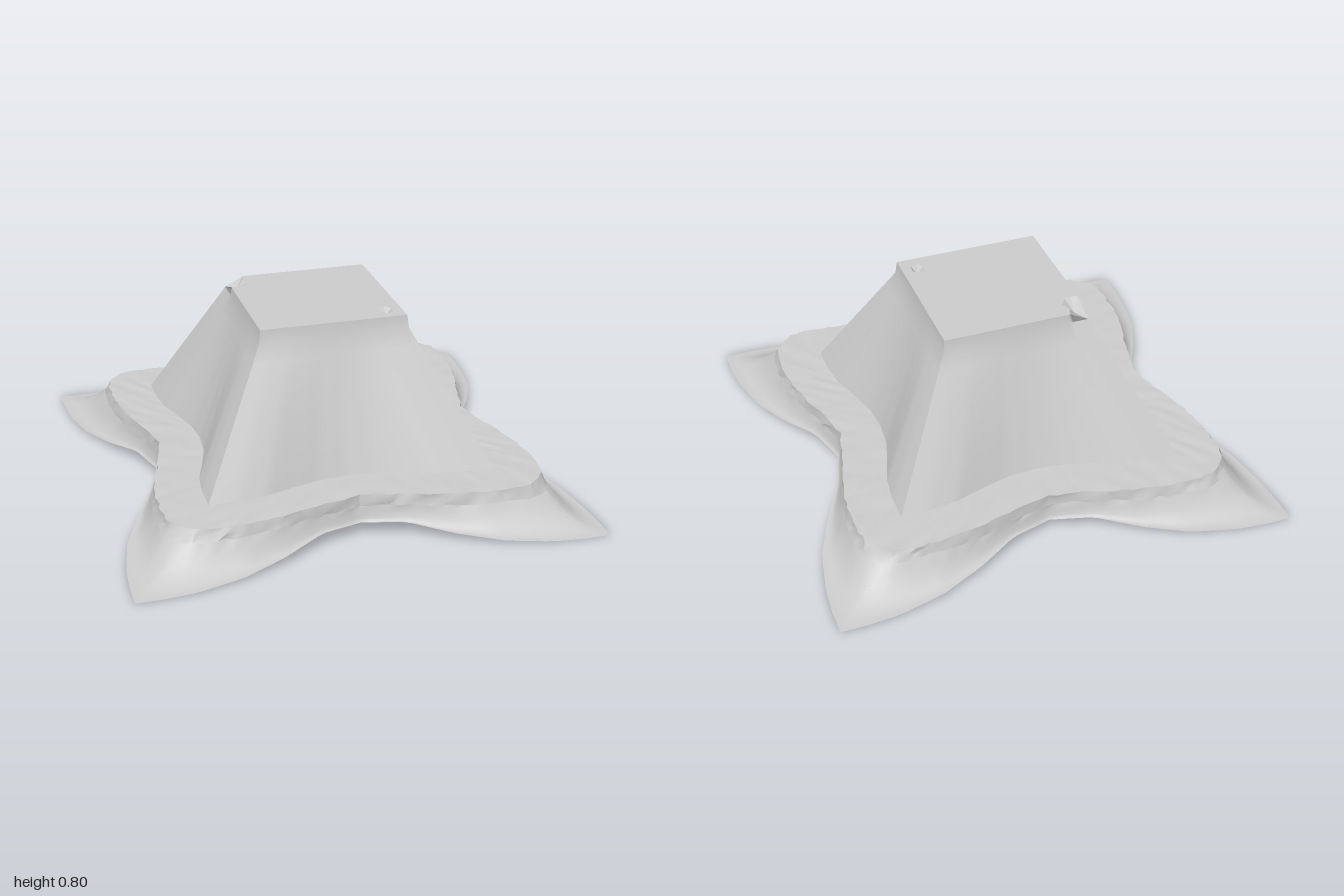
import * as THREE from 'three';
import { toCreasedNormals } from 'three/addons/utils/BufferGeometryUtils.js';

const material = new THREE.MeshStandardMaterial({ color: 0xcccccc, side: THREE.DoubleSide });
const STEPS = 44; // segments per side of the four-sided plan

// Half-side plan curves, from the middle of a side (u = 0) to its corner (u = 1)
const U = [0, 0.2, 0.4, 0.6, 0.8, 0.9, 1];
const foot = { lat: U.map(u => u * 0.62), out: [0.52, 0.53, 0.565, 0.605, 0.62, 0.62, 0.62] };
const rim = { lat: [0, 0.17, 0.34, 0.5, 0.64, 0.71, 0.765], out: [0.70, 0.74, 0.79, 0.815, 0.815, 0.805, 0.765] };
const hem = { lat: [0, 0.18, 0.36, 0.55, 0.75, 0.88, 1], out: [0.72, 0.775, 0.87, 0.95, 0.99, 1, 1] };
const hemY = [0.06, 0.065, 0.035, 0.015, 0.002, 0, 0];

function sample(values, u) {
  let i = 0;
  while (i < U.length - 2 && u > U[i + 1]) i++;
  return THREE.MathUtils.lerp(values[i], values[i + 1], (u - U[i]) / (U[i + 1] - U[i]));
}

// Small repeatable roughness in -1..1
function rough(a, b) {
  const s = Math.sin(a * 127.1 + b * 311.7) * 43758.5453;
  return (s - Math.floor(s)) * 2 - 1;
}

const at = (plan, u) => [sample(plan.lat, u), sample(plan.out, u)];
const mix = (a, b, f) => [a[0] + (b[0] - a[0]) * f, a[1] + (b[1] - a[1]) * f];

// One closed ring; pointAt(u, i) gives [lateral, outward, y] for u in 0..1
function ring(pointAt) {
  const points = [];
  for (let side = 0; side < 4; side++) {
    for (let i = 0; i < STEPS; i++) {
      const u = (i / STEPS) * 2 - 1;
      const [lat, z, y] = pointAt(Math.abs(u), side * STEPS + i);
      const p = new THREE.Vector3(lat * Math.sign(u), y, z);
      points.push(p.applyAxisAngle(new THREE.Vector3(0, 1, 0), side * Math.PI / 2));
    }
  }
  return points;
}

// Skin a stack of rings from top to bottom
function loft(rings) {
  const n = rings[0].length, index = [];
  for (let r = 0; r < rings.length - 1; r++) {
    for (let i = 0; i < n; i++) {
      const j = (i + 1) % n;
      const a = r * n + i, b = r * n + j, c = a + n, d = b + n;
      index.push(a, c, b, b, c, d);
    }
  }
  const geo = new THREE.BufferGeometry().setFromPoints(rings.flat());
  geo.setIndex(index);
  return toCreasedNormals(geo, 0.6);
}

function add(group, geometry, name) {
  const mesh = new THREE.Mesh(geometry, material);
  mesh.name = name;
  group.add(mesh);
}

// Shallow dent: a fan from an outline [x, y, z] down to a centre point
function dent(outline, centre) {
  const points = [];
  outline.forEach((p, i) => points.push(
    new THREE.Vector3(...p), new THREE.Vector3(...outline[(i + 1) % outline.length]), new THREE.Vector3(...centre)));
  const geo = new THREE.BufferGeometry().setFromPoints(points);
  geo.computeVertexNormals();
  return geo;
}

export function createModel() {
  const model = new THREE.Group();
  model.name = 'terracedMound';

  // Sloping walls, from the flat top's lip down to the pinched foot
  const lip = ring(u => [0.32 * u, 0.32, 0.797]);
  for (const p of lip) if (p.x < -0.24 && p.z < -0.2) p.y = 0.755; // broken corner
  const walls = [lip, ring(u => [0.327 * u, 0.327, 0.74])];
  for (let k = 1; k <= 8; k++) {
    const f = k / 8;
    walls.push(ring(u => [...mix([0.327 * u, 0.327], at(foot, u), f), 0.74 - 0.56 * f]));
  }
  add(model, loft(walls), 'slopingWalls');

  // Terrace with a slightly uneven surface
  const terrace = [];
  for (let k = 0; k <= 5; k++) {
    const f = k / 5;
    terrace.push(ring((u, i) => {
      const [lat, out] = mix(at(foot, u), at(rim, u), f);
      const bump = k === 0 ? 0 : rough(i, k) * 0.003;
      return [lat, out + (k === 5 ? rough(i, 9) * 0.006 : 0), 0.18 + bump];
    }));
  }
  // Ragged rim under the terrace edge
  const rimRings = [terrace[5]];
  [0.155, 0.13].forEach((y, k) => rimRings.push(ring((u, i) => {
    const [lat, out] = mix(at(rim, u), at(hem, u), 0.04 + k * 0.06);
    return [lat, out + rough(i, 20 + k) * 0.005, y + rough(i, 30 + k) * 0.006];
  })));
  add(model, loft(terrace), 'terrace');
  add(model, loft(rimRings), 'raggedRim');

  // Flared skirt sweeping out to four pointed corners
  const skirt = [rimRings[2]];
  for (let k = 1; k <= 8; k++) {
    const f = k / 8;
    skirt.push(ring(u => {
      const edge = sample(hemY, u);
      return [...mix(at(rim, u), at(hem, u), 0.1 + 0.9 * f), edge + (0.13 - edge) * Math.pow(1 - f, 2.3)];
    }));
  }
  add(model, loft(skirt), 'flaredSkirt');

  // Flat top with a broken corner and a small hole
  const notch = [[-0.32, -0.2], [-0.29, -0.195], [-0.26, -0.2], [-0.235, -0.24], [-0.25, -0.28], [-0.24, -0.32]];
  const hole = [[0.225, 0.21], [0.255, 0.2], [0.28, 0.225], [0.275, 0.27], [0.245, 0.28], [0.225, 0.25]];
  const toV2 = ([x, z]) => new THREE.Vector2(x, -z);
  const shape = new THREE.Shape([...notch, [0.32, -0.32], [0.32, 0.32], [-0.32, 0.32]].map(toV2));
  shape.holes.push(new THREE.Path(hole.map(toV2)));
  const top = new THREE.ShapeGeometry(shape);
  top.rotateX(-Math.PI / 2);
  top.translate(0, 0.797, 0);
  add(model, top, 'flatTop');
  add(model, dent(hole.map(([x, z]) => [x, 0.797, z]), [0.25, 0.765, 0.24]), 'smallDent');
  add(model, dent([...notch.map(([x, z]) => [x, 0.797, z]), [-0.32, 0.755, -0.32]], [-0.285, 0.755, -0.26]), 'brokenCorner');

  return model;
}
